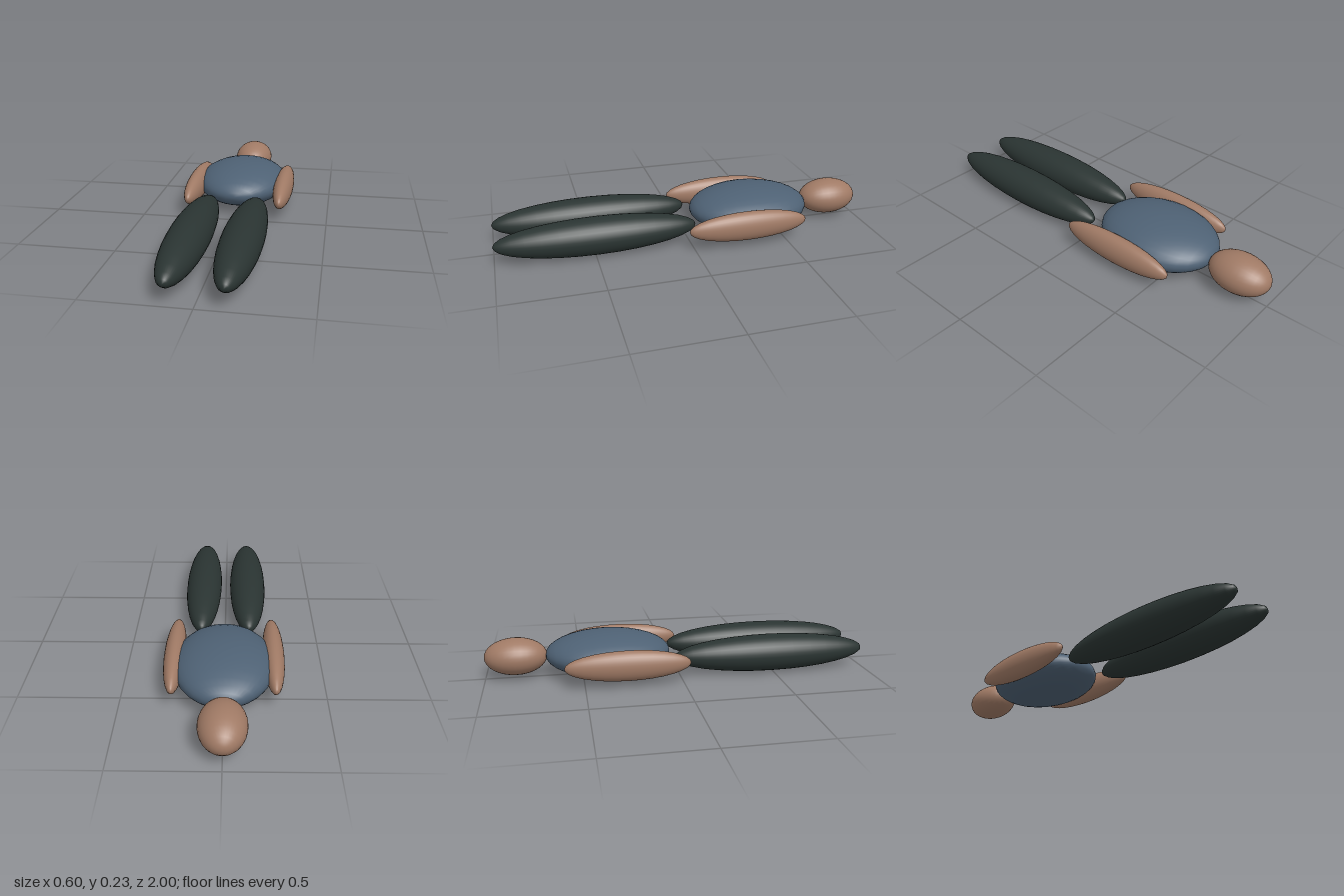
import * as THREE from 'three';

export function createModel() {
  const model = new THREE.Group();
  model.name = 'lyingFigure';

  const mat = (name, color) => {
    const m = new THREE.MeshStandardMaterial({ color });
    m.name = name;
    return m;
  };
  const skin = mat('skin', 0xa07a65);
  const shirt = mat('blueShirt', 0x4e6174);
  const trousers = mat('darkTrousers', 0x2a3432);

  // Unit sphere with its poles along z, the length of the body
  const ball = new THREE.SphereGeometry(1, 32, 16).rotateX(Math.PI / 2);

  // Smooth ellipsoid from its centre and half sizes
  function ellipsoid(name, material, centre, radii) {
    const mesh = new THREE.Mesh(ball, material);
    mesh.name = name;
    mesh.position.set(...centre);
    mesh.scale.set(...radii);
    model.add(mesh);
  }

  // Head and torso
  ellipsoid('head', skin, [0, 0.117, -0.84], [0.112, 0.096, 0.16]);
  ellipsoid('torso', shirt, [0, 0.115, -0.365], [0.25, 0.114, 0.325]);

  // Mirrored arms and legs
  for (const [side, s] of [['left', 1], ['right', -1]]) {
    ellipsoid(side + 'Arm', skin, [s * 0.246, 0.113, -0.283], [0.054, 0.078, 0.317]);
    ellipsoid(side + 'Leg', trousers, [s * 0.127, 0.103, 0.485], [0.102, 0.097, 0.515]);
  }

  return model;
}
